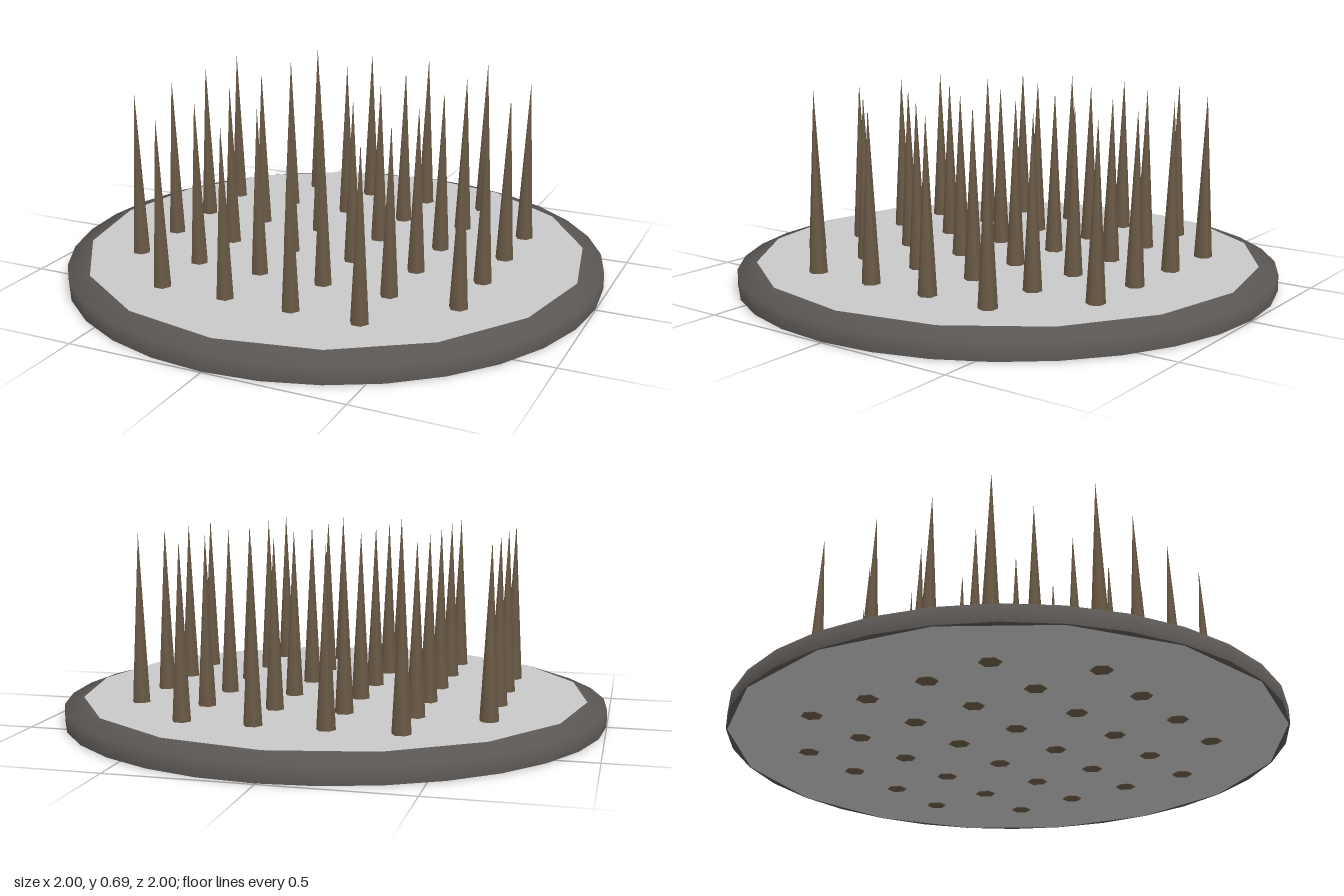
import * as THREE from 'three';

const STEPS = 32;

// Radius at step i; sixteenSided makes every second point lie mid-edge of a 16-gon
function radiusAt(radius, i, sixteenSided) {
  return sixteenSided && i % 2 ? radius * Math.cos(Math.PI / 16) : radius;
}

// Rim skin: loops of points joined from bottom to top, outward facing
function rimGeometry(loops) {
  const positions = [], index = [];
  for (const { r, y, sixteen } of loops) {
    for (let i = 0; i < STEPS; i++) {
      const a = (i / STEPS) * Math.PI * 2;
      const d = radiusAt(r, i, sixteen);
      positions.push(d * Math.sin(a), y, d * Math.cos(a));
    }
  }
  for (let k = 0; k < loops.length - 1; k++) {
    for (let i = 0; i < STEPS; i++) {
      const j = (i + 1) % STEPS;
      const a = k * STEPS + i, b = k * STEPS + j;
      index.push(a, b, b + STEPS, a, b + STEPS, a + STEPS);
    }
  }
  const g = new THREE.BufferGeometry();
  g.setAttribute('position', new THREE.Float32BufferAttribute(positions, 3));
  g.setIndex(index);
  g.computeVertexNormals();
  return g;
}

export function createModel() {
  const model = new THREE.Group();
  model.name = 'spikePlate';

  const rimGrey = new THREE.MeshStandardMaterial({ color: 0x5a5653 });
  rimGrey.name = 'rimGrey';
  const plateGrey = new THREE.MeshStandardMaterial({ color: 0xc8c8c8 });
  plateGrey.name = 'plateGrey';
  const spikeBrown = new THREE.MeshStandardMaterial({ color: 0x6b5a46 });
  spikeBrown.name = 'spikeBrown';

  const add = (geometry, material, name, parent = model) => {
    const mesh = new THREE.Mesh(geometry, material);
    mesh.name = name;
    parent.add(mesh);
    return mesh;
  };

  // Rim with upright wall and shallow chamfer
  add(rimGeometry([
    { r: 1, y: 0 },
    { r: 1, y: 0.06 },
    { r: 0.93, y: 0.085, sixteen: true },
  ]), rimGrey, 'rim');

  // Narrow underside of the rim
  const underRim = add(new THREE.RingGeometry(0.97, 1, STEPS), rimGrey, 'rimUnderside');
  underRim.rotation.x = Math.PI / 2;

  // Plate faces, sixteen sided
  const top = add(new THREE.CircleGeometry(0.93, 16), plateGrey, 'plateTop');
  top.rotation.x = -Math.PI / 2;
  top.position.y = 0.085;
  const bottom = add(new THREE.CircleGeometry(0.995, 16), plateGrey, 'plateUnderside');
  bottom.rotation.x = Math.PI / 2;
  bottom.position.y = -0.001;

  // Six by six grid of hexagonal spikes without the corners, passing through the plate
  const spikes = new THREE.Group();
  spikes.name = 'spikes';
  model.add(spikes);
  const bottomY = -0.003, tipY = 0.69;
  const spikeGeometry = new THREE.ConeGeometry(0.038, tipY - bottomY, 6);
  spikeGeometry.rotateY(Math.PI / 6);
  for (let row = 0; row < 6; row++) {
    for (let col = 0; col < 6; col++) {
      if (row % 5 === 0 && col % 5 === 0) continue;
      const spike = add(spikeGeometry, spikeBrown, 'spike', spikes);
      spike.position.set(-0.625 + col * 0.25, (tipY + bottomY) / 2, -0.625 + row * 0.25);
    }
  }

  // Rest the lowest face on the ground
  for (const part of model.children) part.position.y -= bottomY;
  return model;
}
